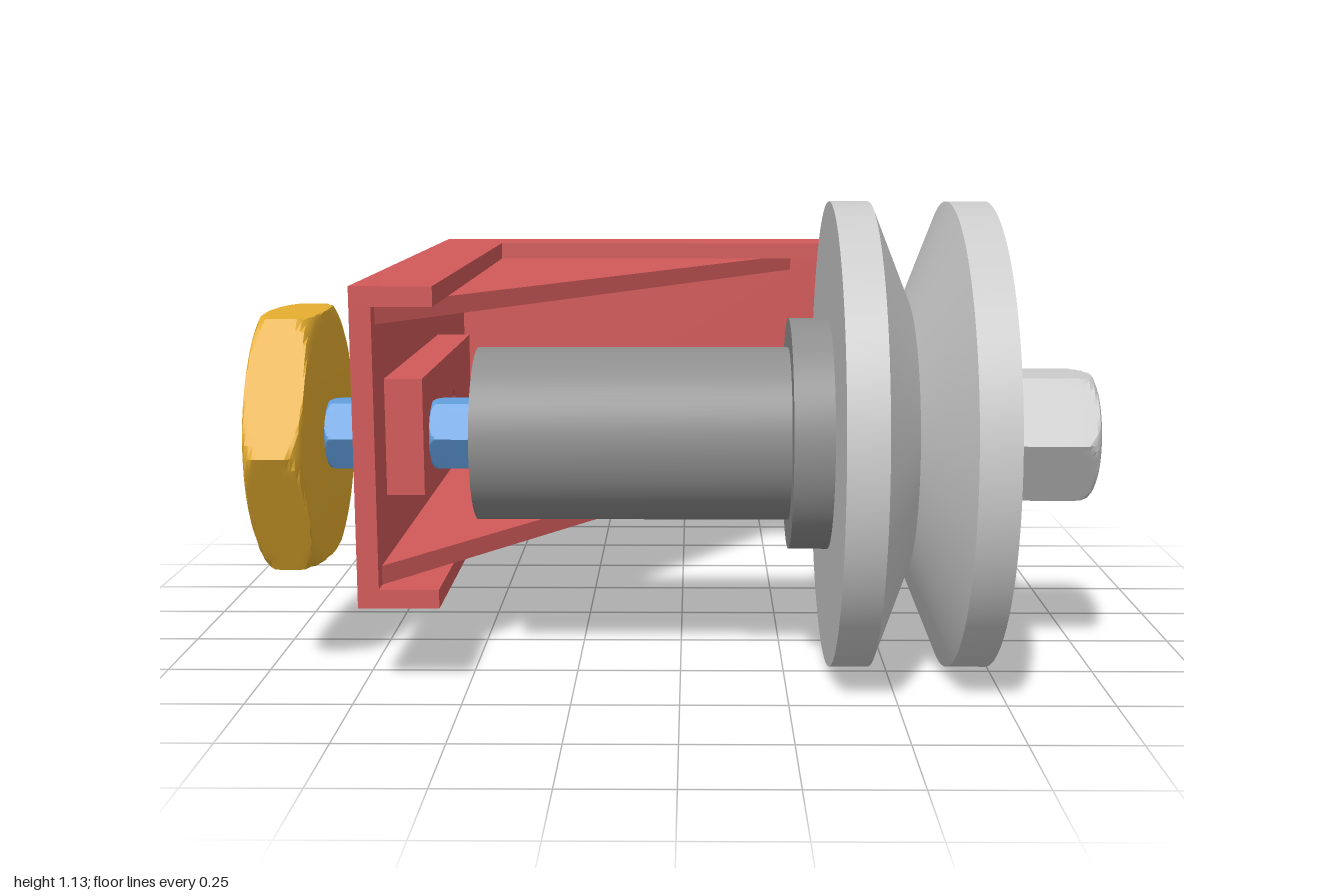
import * as THREE from 'three';
import { toCreasedNormals } from 'three/addons/utils/BufferGeometryUtils.js';

const AXIS_Y = 0.565, AXIS_Z = 0.375;

const mat = (color) => new THREE.MeshStandardMaterial({ color });
const RED = mat(0xd25a5a), GOLD = mat(0xe6ae30), BLUE = mat(0x62a0e0),
  BRASS = mat(0xeec67c), STEEL = mat(0xcccccc), DARK = mat(0x8e8e8e);

function add(parent, name, geometry, material) {
  const mesh = new THREE.Mesh(geometry, material);
  mesh.name = name;
  parent.add(mesh);
  return mesh;
}

// Turned part about the shaft axis; profile is a list of [radius, x]
function turned(profile, segments = 96) {
  const pts = profile.map(([r, x]) => new THREE.Vector2(r, x));
  return new THREE.LatheGeometry(pts, segments);
}

function placeOnAxis(geometry) {
  geometry.rotateZ(-Math.PI / 2).translate(0, AXIS_Y, AXIS_Z);
  return toCreasedNormals(geometry, 0.4);
}

// Disc or rod between two x positions
const rod = (x0, x1, r) => placeOnAxis(turned([[0, x0], [r, x0], [r, x1], [0, x1]]));

// Hexagon with chamfered corners: a turned blank whose radius is clamped to six flats
function hex(x0, x1, apothem, chamfer, endRatio = 0.95) {
  const R = apothem / Math.cos(Math.PI / 6) + 0.001;
  const rEnd = apothem * endRatio;
  const steps = 6, start = [], end = [];
  for (let i = 0; i <= steps; i++) {
    const a = (i / steps) * Math.PI / 2;
    const r = rEnd + (R - rEnd) * Math.sin(a);
    const d = chamfer * (1 - Math.cos(a));
    start.push([r, x0 + d]);
    end.unshift([r, x1 - d]);
  }
  const geo = turned([[0, x0], ...start, ...end, [0, x1]], 72);
  const pos = geo.attributes.position;
  for (let i = 0; i < pos.count; i++) {
    const x = pos.getX(i), z = pos.getZ(i);
    const r = Math.hypot(x, z);
    if (r < 1e-6) continue;
    const sector = Math.PI / 3;
    const phi = Math.atan2(x, z) + Math.PI * 2;
    const limit = apothem / Math.cos((phi % sector) - sector / 2);
    const k = Math.min(1, limit / r);
    pos.setX(i, x * k);
    pos.setZ(i, z * k);
  }
  return placeOnAxis(geo);
}

// Flat plate from [x, z] corners, between two heights
function plate(corners, y0, y1) {
  const shape = new THREE.Shape(corners.map(([x, z]) => new THREE.Vector2(x, -z)));
  const geo = new THREE.ExtrudeGeometry(shape, { depth: y1 - y0, bevelEnabled: false });
  return geo.rotateX(-Math.PI / 2).translate(0, y0, 0);
}

// Upright slab facing x, with bolt holes at z = 0 and on the shaft axis
function drilledSlab(x0, x1, y0, y1, z0, z1) {
  const shape = new THREE.Shape([[-z1, y0], [-z0, y0], [-z0, y1], [-z1, y1]]
    .map(([u, v]) => new THREE.Vector2(u, v)));
  for (const z of [0, AXIS_Z]) {
    shape.holes.push(new THREE.Path().absarc(-z, AXIS_Y, 0.048, 0, Math.PI * 2, true));
  }
  const geo = new THREE.ExtrudeGeometry(shape,
    { depth: x1 - x0, bevelEnabled: false, curveSegments: 24 });
  geo.rotateY(Math.PI / 2).translate(x0, 0, 0);
  return toCreasedNormals(geo, 0.5);
}

function box(x0, x1, y0, y1, z0, z1) {
  return new THREE.BoxGeometry(x1 - x0, y1 - y0, z1 - z0)
    .translate((x0 + x1) / 2, (y0 + y1) / 2, (z0 + z1) / 2);
}

function createBracket() {
  const g = new THREE.Group();
  g.name = 'bracket';

  // Two walls and the pad behind the bolt
  add(g, 'sideWall', drilledSlab(-0.75, -0.70, 0.245, 0.905, -0.945, 0.655), RED);
  add(g, 'backWall', box(-0.70, 0.43, 0.245, 0.905, -0.945, -0.895), RED);
  add(g, 'boltPad', drilledSlab(-0.70, -0.61, 0.44, 0.72, -0.34, 0.515), RED);

  // L-shaped flanges with a recessed gusset inside each
  const flange = [[-0.75, -0.945], [-0.75, 0.655], [-0.56, 0.655],
    [-0.56, -0.757], [0.43, -0.757], [0.43, -0.945]];
  const gusset = [[-0.70, -0.895], [-0.70, 0.61], [0.335, -0.895]];
  add(g, 'topFlange', plate(flange, 0.905, 0.952), RED);
  add(g, 'topGusset', plate(gusset, 0.86, 0.905), RED);
  add(g, 'bottomFlange', plate(flange, 0.2, 0.245), RED);
  add(g, 'bottomGusset', plate(gusset, 0.245, 0.29), RED);
  return g;
}

export function createModel() {
  const model = new THREE.Group();
  model.name = 'pulleyBracketAssembly';
  model.add(createBracket());

  // Adjusting knob and the nuts on both sides of the bracket
  add(model, 'hexKnob', hex(-1, -0.86, 0.301, 0.045), GOLD);
  add(model, 'outerNut', hex(-0.86, -0.75, 0.08, 0.025), BLUE);
  add(model, 'innerNut', hex(-0.607, -0.495, 0.08, 0.025), BLUE);

  // Shaft with collar
  add(model, 'shaft', rod(-0.495, 0.262, 0.211), DARK);
  add(model, 'collar', rod(0.262, 0.357, 0.282), DARK);

  // Pulley with V groove
  add(model, 'pulley', placeOnAxis(turned([
    [0, 0.357], [0.565, 0.357], [0.565, 0.45], [0.335, 0.544],
    [0.565, 0.638], [0.565, 0.731], [0, 0.731],
  ], 128)), STEEL);

  // Washer and end bolt
  add(model, 'washer', rod(0.731, 0.77, 0.282), BRASS);
  add(model, 'boltHead', hex(0.77, 1, 0.149, 0.05, 0.85), STEEL);
  return model;
}
